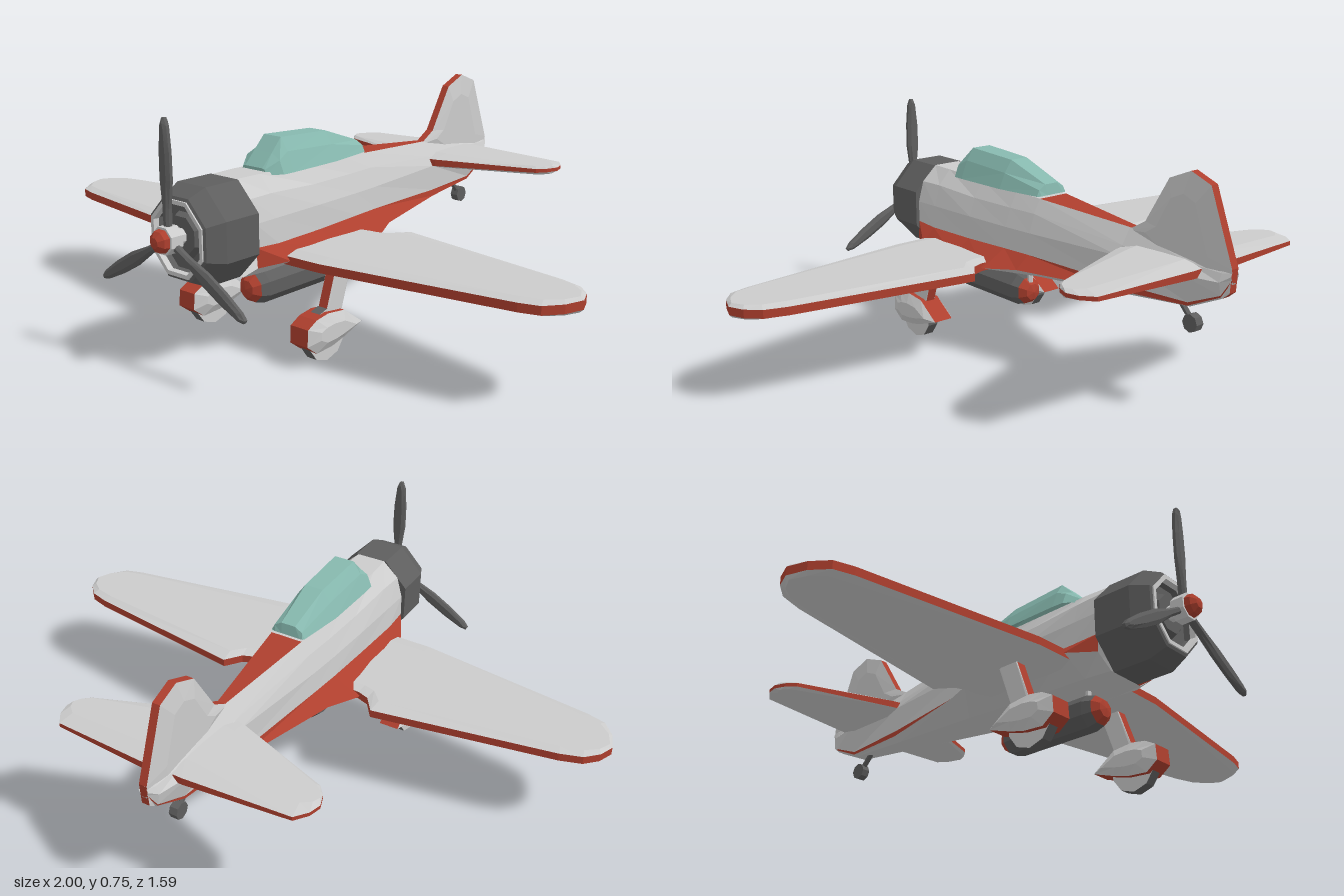
import * as THREE from 'three';

const paint = (color) => new THREE.MeshStandardMaterial({ color, flatShading: true, side: THREE.DoubleSide });
const GREY = paint(0xcccccc), RED = paint(0xae3f2e), DARK = paint(0x5e5e5e), TEAL = paint(0x86b8ae);

function add(parent, name, geo, mat, pos = [0, 0, 0]) {
  const mesh = new THREE.Mesh(geo, mat);
  mesh.name = name;
  mesh.position.set(...pos);
  parent.add(mesh);
  return mesh;
}

function fromTriangles(points) {
  const geo = new THREE.BufferGeometry();
  geo.setAttribute('position', new THREE.Float32BufferAttribute(points.flat(), 3));
  geo.computeVertexNormals();
  return geo;
}

// triangles joining consecutive rows of points
function skin(rows, closed = false) {
  const out = [];
  for (let i = 0; i + 1 < rows.length; i++) {
    const a = rows[i], b = rows[i + 1], n = a.length;
    for (let j = 0; j < (closed ? n : n - 1); j++) {
      const k = (j + 1) % n;
      out.push(a[j], b[j], b[k], a[j], b[k], a[k]);
    }
  }
  return out;
}

// thin panel: flat rim of half width h, faces bevelled up to half thickness H
function panel(parent, name, outline, place, h, H, scale, rimMat, faceMat) {
  const us = outline.map((p) => p[0]), vs = outline.map((p) => p[1]);
  const cu = (Math.min(...us) + Math.max(...us)) / 2, cv = (Math.min(...vs) + Math.max(...vs)) / 2;
  const inset = outline.map(([u, v]) => [cu + (u - cu) * scale[0], cv + (v - cv) * scale[1]]);
  const ring = (pts, w) => pts.map(([u, v]) => place(u, v, w));
  const tris = THREE.ShapeUtils.triangulateShape(inset.map((p) => new THREE.Vector2(...p)), []);
  const faces = [];
  for (const s of [1, -1]) {
    const top = ring(inset, s * H);
    faces.push(...skin([ring(outline, s * h), top], true));
    for (const t of tris) faces.push(...t.map((i) => top[i]));
  }
  const group = new THREE.Group();
  group.name = name;
  add(group, name + 'Rim', fromTriangles(skin([ring(outline, h), ring(outline, -h)], true)), rimMat);
  add(group, name + 'Faces', fromTriangles(faces), faceMat);
  parent.add(group);
  return group;
}

// cylinder between two points
function rod(parent, name, a, b, r, mat, sides = 6) {
  const p = new THREE.Vector3(...a), q = new THREE.Vector3(...b), d = q.clone().sub(p);
  const mesh = add(parent, name, new THREE.CylinderGeometry(r, r, d.length(), sides), mat);
  mesh.position.copy(p).add(q).multiplyScalar(0.5);
  mesh.quaternion.setFromUnitVectors(new THREE.Vector3(0, 1, 0), d.normalize());
}

// turned part along z, profile of [radius, z]
function turned(parent, name, profile, sides, mat, y) {
  const geo = new THREE.LatheGeometry(profile.map((p) => new THREE.Vector2(...p)), sides, Math.PI / sides);
  return add(parent, name, geo.rotateX(Math.PI / 2), mat, [0, y, 0]);
}

// z, then x,y of: top edge, shoulder, waist, fairing top, fairing edge, belly
const SECTIONS = [
  [0.53, 0.05, 0.54, 0.105, 0.49, 0.125, 0.42, 0.126, 0.35, 0.13, 0.29, 0.07, 0.25],
  [0.44, 0.055, 0.54, 0.1, 0.49, 0.122, 0.42, 0.128, 0.345, 0.175, 0.3, 0.08, 0.25],
  [0.25, 0.058, 0.535, 0.093, 0.48, 0.116, 0.42, 0.12, 0.345, 0.19, 0.3, 0.08, 0.255],
  [0.07, 0.06, 0.53, 0.087, 0.48, 0.108, 0.42, 0.114, 0.35, 0.205, 0.3, 0.08, 0.26],
  [-0.04, 0.055, 0.525, 0.08, 0.48, 0.1, 0.42, 0.105, 0.35, 0.155, 0.31, 0.07, 0.272],
  [-0.4, 0.014, 0.5, 0.045, 0.45, 0.06, 0.42, 0.06, 0.335, 0.064, 0.315, 0.04, 0.3],
  [-0.65, 0.01, 0.475, 0.03, 0.45, 0.056, 0.42, 0.032, 0.335, 0.032, 0.325, 0.02, 0.32],
  [-0.76, 0.008, 0.465, 0.02, 0.445, 0.03, 0.42, 0.022, 0.38, 0.02, 0.375, 0.015, 0.37],
  [-0.79, 0.006, 0.46, 0.012, 0.45, 0.016, 0.44, 0.012, 0.43, 0.01, 0.425, 0.006, 0.42],
];

function buildFuselage(plane) {
  const pt = (s, i, side = 1) => [side * s[1 + 2 * i], s[2 + 2 * i], s[0]];
  const strip = (from, to, side) => skin(SECTIONS.map((s) => {
    const row = [];
    for (let i = from; i <= to; i++) row.push(pt(s, i, side));
    return row;
  }));
  const across = (list, i) => skin(list.map((s) => [pt(s, i, 1), pt(s, i, -1)]));
  add(plane, 'fuselageSides', fromTriangles([...strip(0, 3, 1), ...strip(0, 3, -1)]), GREY);
  add(plane, 'wingFairings', fromTriangles([...strip(3, 4, 1), ...strip(3, 4, -1)]), RED);
  add(plane, 'belly', fromTriangles([...strip(4, 5, 1), ...strip(4, 5, -1), ...across(SECTIONS, 5)]), GREY);
  add(plane, 'noseDeck', fromTriangles(across(SECTIONS.slice(0, 5), 0)), GREY);
  add(plane, 'spineStripe', fromTriangles(across(SECTIONS.slice(4), 0)), RED);

  // canopy sections: z, base half width, shoulder half width and height, roof half width and height
  const canopy = [
    [0.41, 0.05, 0.045, 0.545, 0.035, 0.548], [0.37, 0.085, 0.068, 0.57, 0.036, 0.588],
    [0.33, 0.087, 0.062, 0.59, 0.035, 0.63], [0.13, 0.083, 0.06, 0.58, 0.032, 0.62],
    [-0.03, 0.06, 0.05, 0.55, 0.025, 0.565], [-0.036, 0.055, 0.045, 0.53, 0.02, 0.53],
  ].map(([z, b, sx, sy, rx, ry]) => [[b, 0.53, z], [sx, sy, z], [rx, ry, z], [-rx, ry, z], [-sx, sy, z], [-b, 0.53, z]]);
  const front = canopy[0];
  const nose = [1, 2, 3, 4].flatMap((i) => [front[0], front[i], front[i + 1]]);
  add(plane, 'canopy', fromTriangles([...skin(canopy), ...nose]), TEAL);
}

function buildNose(plane) {
  const y = 0.395;
  turned(plane, 'cowling', [[0, 0.53], [0.157, 0.53], [0.157, 0.655], [0.13, 0.71], [0.118, 0.715],
    [0.105, 0.68], [0, 0.68]], 8, DARK, y).scale.x = 0.95;
  turned(plane, 'intakeRing', [[0.123, 0.7], [0.12, 0.718], [0.107, 0.718], [0.105, 0.7]], 8, GREY, y).scale.x = 0.95;
  turned(plane, 'crankcase', [[0.07, 0.68], [0.06, 0.7], [0, 0.7]], 8, DARK, 0.4);

  // propeller
  const prop = new THREE.Group();
  prop.name = 'propeller';
  prop.position.y = 0.4;
  plane.add(prop);
  turned(prop, 'propellerHub', [[0.025, 0.69], [0.025, 0.72], [0.042, 0.725], [0.042, 0.768], [0, 0.768]], 8, GREY, 0);
  turned(prop, 'spinnerTip', [[0.036, 0.765], [0.032, 0.785], [0.016, 0.798], [0, 0.8]], 8, RED, 0);
  const half = [[0.01, 0.03], [0.012, 0.09], [0.022, 0.17], [0.021, 0.25], [0.014, 0.32], [0.005, 0.342]];
  const outline = [...half, ...half.map(([x, v]) => [-x, v]).reverse()];
  for (let i = 0; i < 3; i++) {
    panel(prop, 'propellerBlade', outline, (u, v, w) => [u, v, 0.745 + w], 0.005, 0.012, [0.5, 0.92], DARK, DARK)
      .rotation.z = i * Math.PI * 2 / 3;
  }
}

// wing, stabilizer and landing gear for the +x side
function buildSide(plane, side) {
  const group = new THREE.Group();
  group.name = side > 0 ? 'leftSide' : 'rightSide';
  group.scale.x = side;
  plane.add(group);

  panel(group, 'wing', [[0.04, 0.445], [0.28, 0.44], [0.88, 0.348], [0.94, 0.33], [0.98, 0.28], [1, 0.22],
    [0.98, 0.17], [0.94, 0.13], [0.87, 0.108], [0.28, 0.01], [0.24, 0.065], [0.2, 0.08], [0.04, 0.08]],
  (u, v, w) => [u, 0.3 + w, v], 0.013, 0.022, [0.98, 0.78], RED, GREY);
  panel(group, 'stabilizer', [[0.02, -0.39], [0.07, -0.4], [0.4, -0.52], [0.425, -0.55], [0.44, -0.59],
    [0.43, -0.63], [0.4, -0.67], [0.06, -0.695], [0.02, -0.695]],
  (u, v, w) => [u, 0.432 + w * (1.4 - 1.7 * u), v], 0.009, 0.02, [0.95, 0.6], RED, GREY);

  // landing gear
  panel(group, 'gearLeg', [[0.385, 0.13], [0.33, 0.29], [0.26, 0.29], [0.315, 0.13]],
    (u, v, w) => [0.24 + w, v, u], 0.016, 0.019, [0.85, 0.95], RED, GREY);
  panel(group, 'wheelSpat', [[0.48, 0.07], [0.477, 0.122], [0.44, 0.142], [0.39, 0.15], [0.32, 0.142],
    [0.24, 0.085], [0.32, 0.058], [0.37, 0.045], [0.44, 0.04]],
  (u, v, w) => [0.24 + w, v, u], 0.034, 0.051, [0.65, 0.45], RED, GREY);
  const wheel = new THREE.CylinderGeometry(0.08, 0.08, 0.036, 10).rotateZ(Math.PI / 2).rotateX(Math.PI / 10);
  add(group, 'wheel', wheel, [DARK, GREY, GREY], [0.24, 0.077, 0.378]);
}

export function createModel() {
  const plane = new THREE.Group();
  plane.name = 'propellerPlane';
  buildFuselage(plane);
  buildNose(plane);
  for (const side of [1, -1]) buildSide(plane, side);

  // tail fin with rudder
  panel(plane, 'tailFin', [[-0.39, 0.49], [-0.46, 0.53], [-0.55, 0.675], [-0.63, 0.708], [-0.705, 0.68],
    [-0.79, 0.46], [-0.785, 0.39], [-0.76, 0.37], [-0.66, 0.33], [-0.56, 0.4]],
  (u, v, w) => [w, v, u], 0.013, 0.024, [0.6, 0.65], RED, GREY);

  // belly tank
  turned(plane, 'tankBody', [[0.047, 0.085], [0.056, 0.115], [0.056, 0.4], [0.047, 0.43]], 8, DARK, 0.178);
  turned(plane, 'tankFrontCap', [[0.047, 0.43], [0.028, 0.451], [0, 0.456]], 8, RED, 0.178);
  turned(plane, 'tankRearCap', [[0, 0.054], [0.028, 0.06], [0.047, 0.085]], 8, RED, 0.178);
  for (const z of [0.39, 0.075]) rod(plane, 'tankMount', [0, 0.21, z], [0, 0.28, z], 0.01, GREY);

  // tail wheel
  rod(plane, 'tailWheelStrut', [0, 0.33, -0.585], [0, 0.268, -0.645], 0.009, DARK);
  rod(plane, 'tailWheel', [-0.014, 0.266, -0.645], [0.014, 0.266, -0.645], 0.028, DARK, 8);
  return plane;
}
